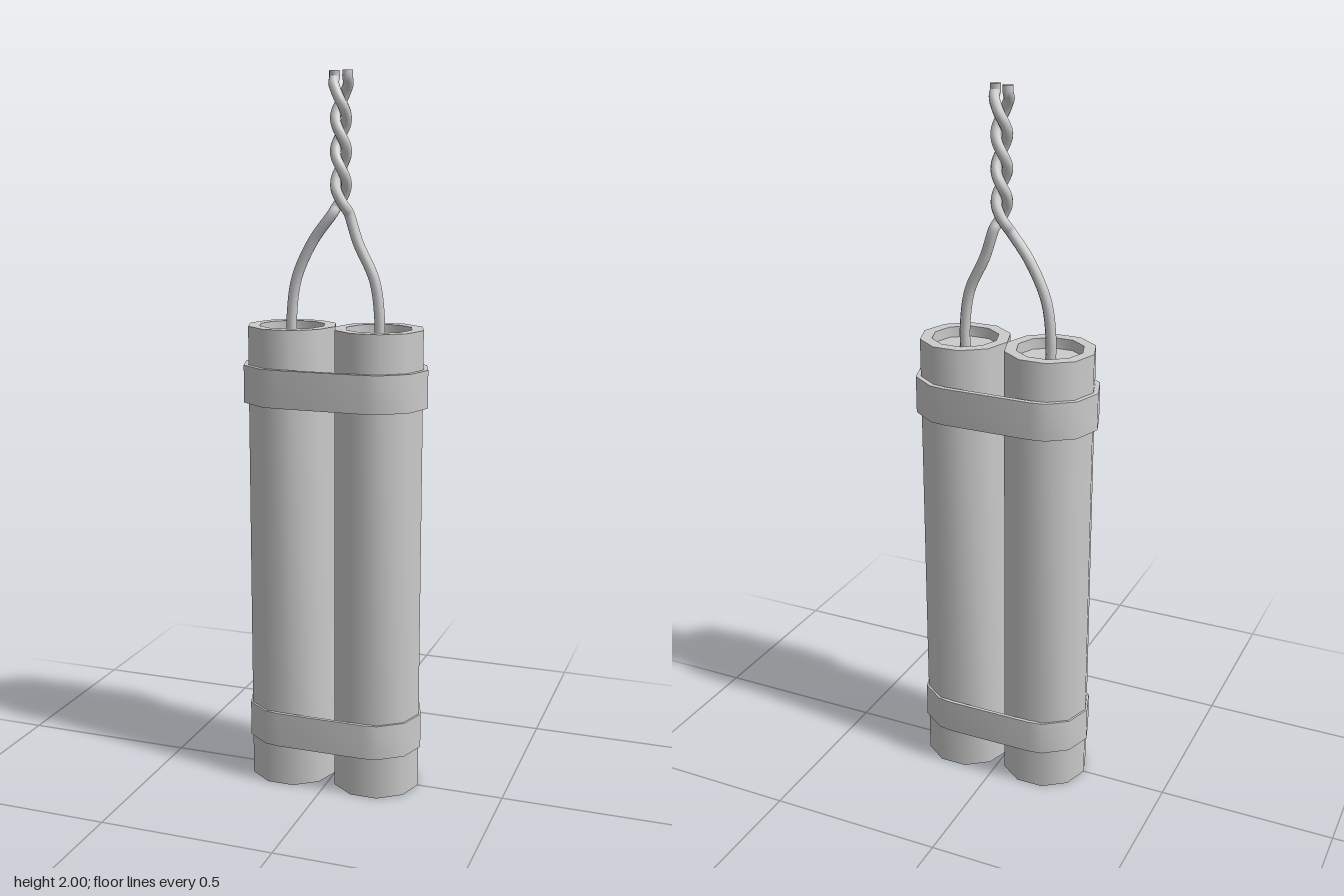
import * as THREE from 'three';
import { toCreasedNormals } from 'three/addons/utils/BufferGeometryUtils.js';

const material = new THREE.MeshStandardMaterial({ color: 0xcccccc });
const STICK_X = 0.126; // distance of each stick from the middle
const deg = Math.PI / 180;

function part(name, geometry, parent) {
  const mesh = new THREE.Mesh(geometry, material);
  mesh.name = name;
  parent.add(mesh);
  return mesh;
}

// Ten-sided stick with a shallow recess in its top
function stickGeometry() {
  const profile = [
    [0, 0], [0.126, 0], [0.126, 1.32], [0.093, 1.32], [0.093, 1.29], [0, 1.29],
  ].map(([r, y]) => new THREE.Vector2(r, y));
  return toCreasedNormals(new THREE.LatheGeometry(profile, 10, Math.PI / 2), 0.7);
}

// Outline running round both sticks at radius r
function strapOutline(r) {
  const angles = [-90, -72, -36, 0, 36, 72, 90];
  return [1, -1].flatMap((side) => angles.map((a) => new THREE.Vector2(
    side * (STICK_X + r * Math.cos(a * deg)),
    side * r * Math.sin(a * deg),
  )));
}

function strapGeometry(outer, inner, height) {
  const shape = new THREE.Shape(strapOutline(outer));
  shape.holes.push(new THREE.Path(strapOutline(inner)));
  const geometry = new THREE.ExtrudeGeometry(shape, { depth: height, bevelEnabled: false });
  geometry.rotateX(-Math.PI / 2);
  return toCreasedNormals(geometry, 0.7);
}

// Wire rising from a stick, then winding round its twin
function wirePoints(side) {
  const cx = 0.016;
  const points = [[0.127, 1.28], [0.127, 1.35], [0.112, 1.45], [0.065, 1.55]]
    .map(([x, y]) => new THREE.Vector3(side * x, y, 0));
  const steps = 32;
  const y0 = 1.627, y1 = 1.982;
  for (let i = 0; i <= steps; i++) {
    const t = i / steps;
    const y = y0 + (y1 - y0) * t;
    const angle = 2091 * deg * (y - y0);
    // wider where the wires join and where the ends splay
    const r = 0.015 + 0.008 * Math.max(0, 1 - t * 10, t * 10 - 9);
    points.push(new THREE.Vector3(
      cx + side * r * Math.cos(angle), y, side * r * Math.sin(angle),
    ));
  }
  const end = points[points.length - 1].clone();
  end.y = 2;
  points.push(end);
  return points;
}

export function createModel() {
  const model = new THREE.Group();
  model.name = 'bundledSticks';

  const stick = stickGeometry();
  for (const [side, label] of [[1, 'left'], [-1, 'right']]) {
    part(label + 'Stick', stick, model).position.x = side * STICK_X;

    const wire = new THREE.Group();
    wire.name = label + 'Wire';
    model.add(wire);
    const points = wirePoints(side);
    const curve = new THREE.CatmullRomCurve3(points);
    part(label + 'WireStrand', new THREE.TubeGeometry(curve, 110, 0.0145, 10), wire);

    // Flat cut end of the wire
    const cap = part(label + 'WireEnd', new THREE.CircleGeometry(0.0145, 10), wire);
    cap.rotation.x = -Math.PI / 2;
    cap.position.copy(points[points.length - 1]);
  }

  // Straps holding the sticks together
  part('upperStrap', strapGeometry(0.14, 0.125, 0.105), model).position.y = 1.108;
  part('lowerStrap', strapGeometry(0.132, 0.122, 0.1), model).position.y = 0.12;

  return model;
}
